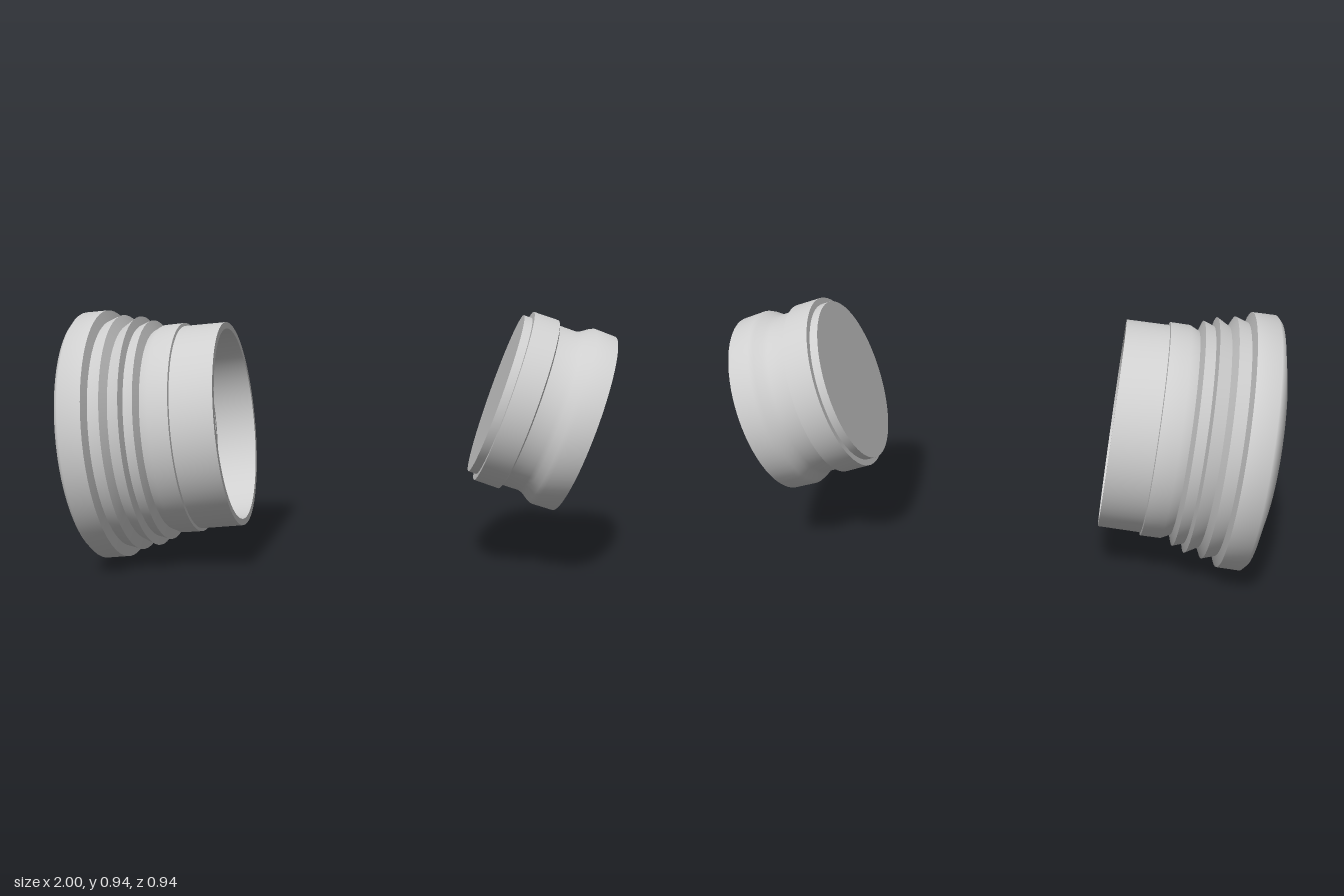
import * as THREE from 'three';
import { toCreasedNormals } from 'three/addons/utils/BufferGeometryUtils.js';

const SEGMENTS = 64;

// Turned part: profile of [radius, height], placed so its +y axis points along (ax, ay)
function turned(name, profile, material, x, y, ax, ay) {
  const points = profile.map(([r, h]) => new THREE.Vector2(r, h));
  const geometry = toCreasedNormals(new THREE.LatheGeometry(points, SEGMENTS), 0.9);
  const mesh = new THREE.Mesh(geometry, material);
  mesh.name = name;
  mesh.position.set(x, y, 0);
  mesh.rotation.z = Math.atan2(-ax, ay);
  return mesh;
}

export function createModel() {
  const group = new THREE.Group();
  group.name = 'socketAndPlug';
  const grey = new THREE.MeshStandardMaterial({ color: 0xcfcfcf });
  grey.name = 'light grey';

  // Hollow socket, height 0 at its open mouth
  const socket = [
    // domed back and wide rim
    [0, -0.573], [0.326, -0.573], [0.452, -0.542], [0.469, -0.526], [0.469, -0.443],
    [0.43, -0.432],
    // three saw-tooth ridges
    [0.446, -0.386], [0.408, -0.368],
    [0.435, -0.322], [0.402, -0.314],
    [0.416, -0.276], [0.378, -0.263],
    // collar and plain tube
    [0.394, -0.23], [0.395, -0.157], [0.384, -0.155], [0.384, 0],
    // mouth, inner ledge, ribbed cavity and floor
    [0.36, 0], [0.36, -0.157], [0.345, -0.157], [0.345, -0.25],
    [0.378, -0.276], [0.37, -0.314], [0.395, -0.322], [0.38, -0.368],
    [0.405, -0.386], [0.4, -0.5], [0.32, -0.54], [0, -0.54],
  ];
  group.add(turned('ridgedSocket', socket, grey, -0.398, 0.5225, 0.995, 0.0976));

  // Solid plug, height 0 at its broad outer face
  const plug = [
    [0, -0.336], [0.303, -0.336], [0.303, -0.306], // inner end
    [0.326, -0.306], [0.326, -0.212], [0.309, -0.206], // raised band
    [0.308, -0.14], [0.314, -0.122], [0.331, -0.097], [0.339, -0.08], // waist and flare
    [0.336, 0], [0, 0],
  ];
  group.add(turned('plug', plug, grey, 0.889, 0.542, 0.948, -0.319));

  return group;
}
